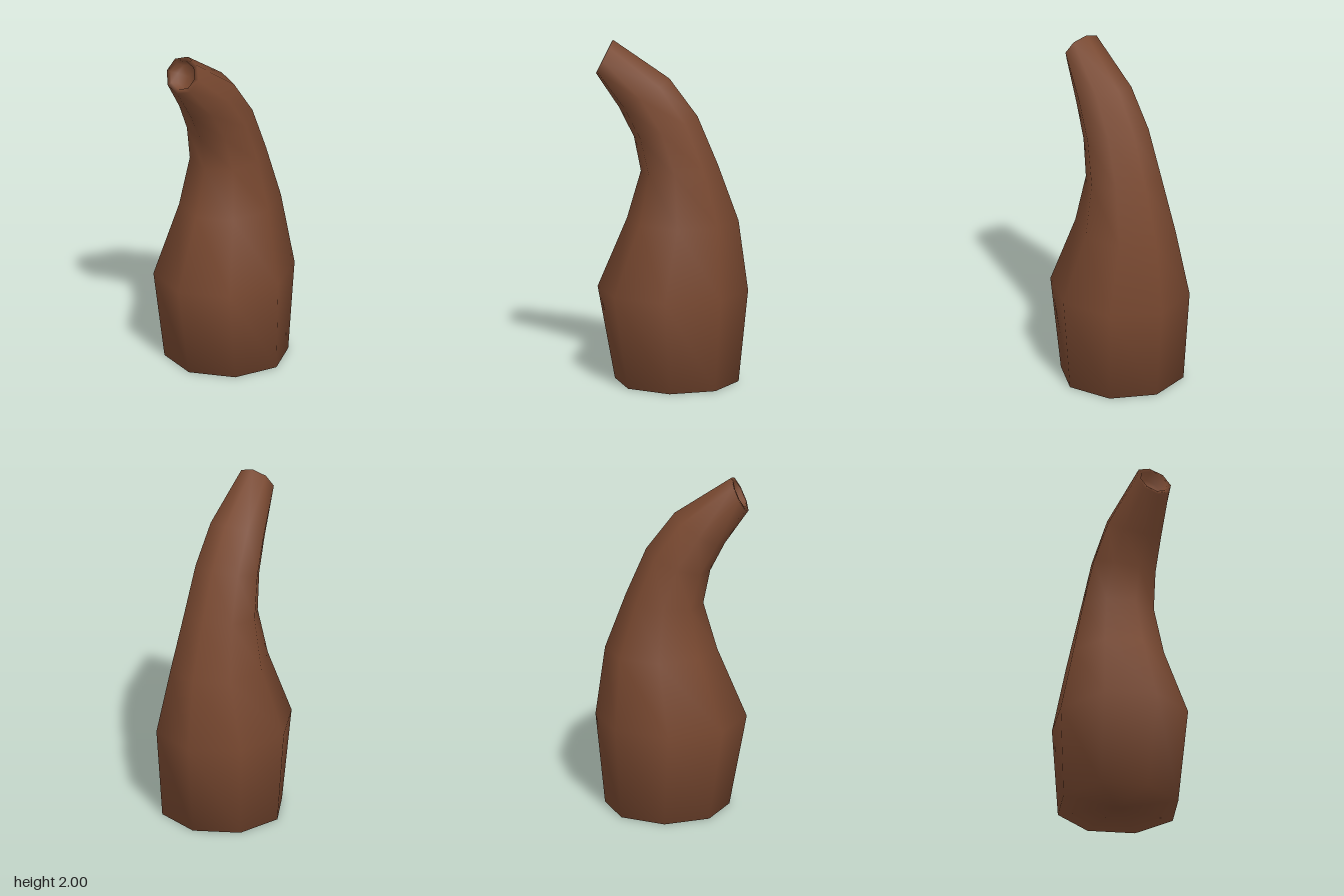
import * as THREE from 'three';

const SIDES = 8;

// Skin a stack of rings; each ring is { f: [z, y] front, b: [z, y] back, w: half width }
function loft(rings) {
  const pos = [], index = [];
  const mid = (r) => [0, (r.f[1] + r.b[1]) / 2, (r.f[0] + r.b[0]) / 2];
  for (const r of rings) {
    const [, cy, cz] = mid(r);
    for (let k = 0; k < SIDES; k++) {
      const a = (k / SIDES) * Math.PI * 2;
      pos.push(r.w * Math.sin(a), cy + Math.cos(a) * (r.f[1] - cy), cz + Math.cos(a) * (r.f[0] - cz));
    }
  }
  const bottom = pos.length / 3, top = bottom + 1;
  pos.push(...mid(rings[0]), ...mid(rings[rings.length - 1]));
  const last = (rings.length - 1) * SIDES;
  for (let k = 0; k < SIDES; k++) {
    const n = (k + 1) % SIDES;
    for (let o = 0; o < last; o += SIDES) {
      index.push(o + k, o + n, o + SIDES + k, o + n, o + SIDES + n, o + SIDES + k);
    }
    index.push(bottom, n, k, top, last + k, last + n);
  }
  const g = new THREE.BufferGeometry();
  g.setAttribute('position', new THREE.Float32BufferAttribute(pos, 3));
  g.setIndex(index);
  g.computeVertexNormals();
  return g;
}

// Shrink a ring about its centre and push it along z and y
function inset(r, s, dz, dy) {
  const c = [0, 1].map((i) => (r.f[i] + r.b[i]) / 2);
  const move = (p) => [c[0] + (p[0] - c[0]) * s + dz, c[1] + (p[1] - c[1]) * s + dy];
  return { f: move(r.f), b: move(r.b), w: r.w * s };
}

export function createModel() {
  const brown = new THREE.MeshStandardMaterial({ color: 0x784830 });
  brown.name = 'brown';

  // Bulging base that narrows and bends forward to the tip
  const rings = [
    { f: [0.33, 0], b: [-0.385, 0], w: 0.36 },
    { f: [0.43, 0.54], b: [-0.44, 0.54], w: 0.39 },
    { f: [0.26, 0.95], b: [-0.385, 0.95], w: 0.275 },
    { f: [0.18, 1.23], b: [-0.265, 1.28], w: 0.22 },
    { f: [0.22, 1.43], b: [-0.148, 1.56], w: 0.195 },
    { f: [0.305, 1.6], b: [0.015, 1.78], w: 0.17 },
    { f: [0.44, 1.8], b: [0.342, 2], w: 0.113 },
  ];
  // Rim and shallow hollow in the tip
  const tip = rings[rings.length - 1];
  rings.push(inset(tip, 0.76, 0, 0), inset(tip, 0.66, -0.054, -0.027));

  const horn = new THREE.Mesh(loft(rings), brown);
  horn.name = 'curvedHorn';
  const group = new THREE.Group();
  group.name = 'horn';
  group.add(horn);
  return group;
}
